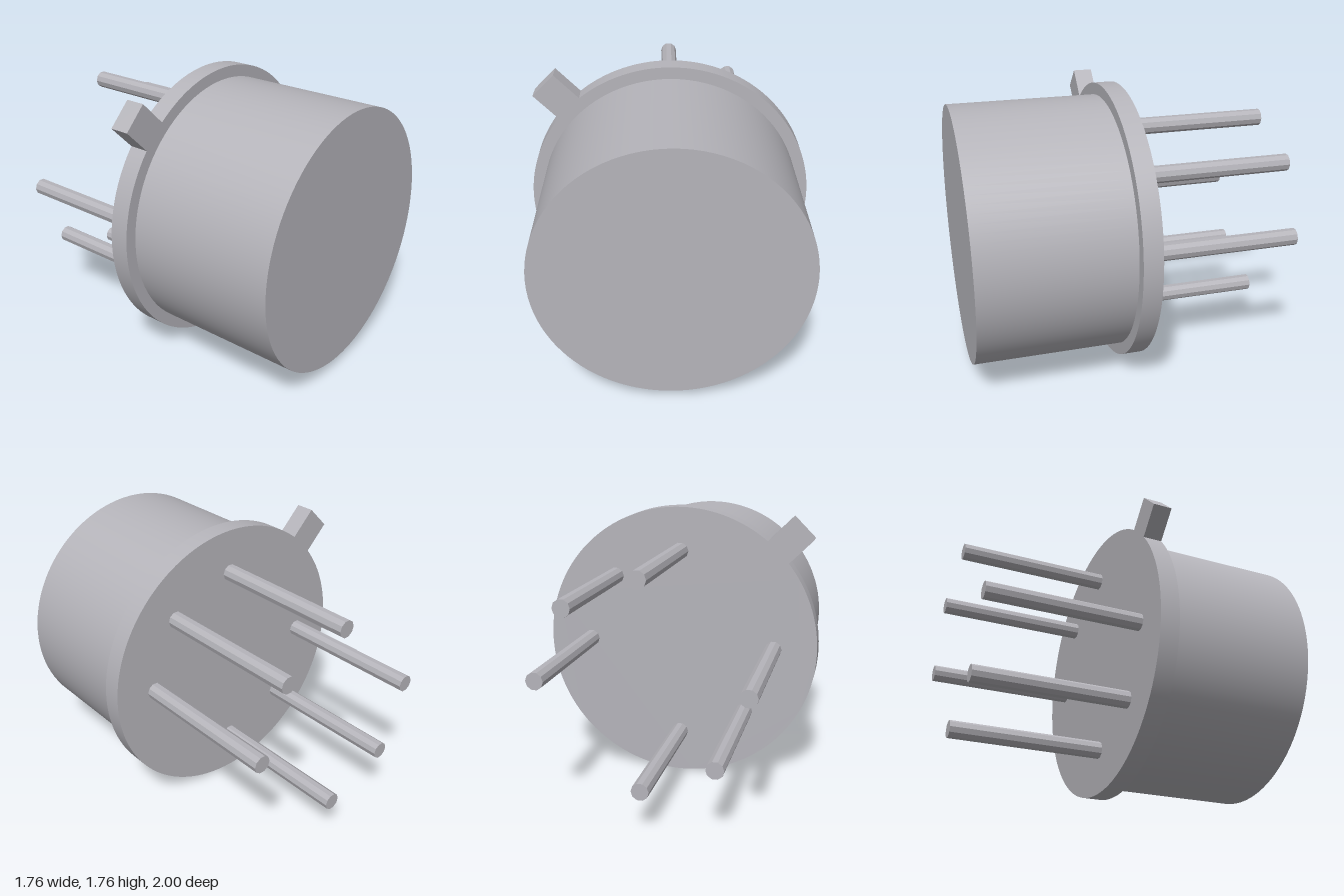
import * as THREE from 'three';
import { toCreasedNormals } from 'three/addons/utils/BufferGeometryUtils.js';

const CENTRE_Y = 0.88;

export function createModel() {
  const model = new THREE.Group();
  model.name = 'metalCanPackage';
  const metal = new THREE.MeshStandardMaterial({ color: 0xb5b4ba });
  metal.name = 'grey metal';

  const add = (name, geometry, x, y, z) => {
    const mesh = new THREE.Mesh(geometry, metal);
    mesh.name = name;
    mesh.position.set(x, CENTRE_Y + y, z);
    model.add(mesh);
  };

  // Cylindrical can facing forward, seated against the flange
  const can = new THREE.CylinderGeometry(0.807, 0.807, 0.93, 96);
  can.rotateX(Math.PI / 2);
  add('can', can, 0, 0, 0.535);

  // Flange disc with a square locating tab at the upper -x side
  const radius = 0.88, halfTab = 0.094, tabReach = 1.084;
  const tabAngle = Math.PI * 0.75;
  const halfAngle = Math.asin(halfTab / radius);
  const outline = new THREE.Shape();
  outline.absarc(0, 0, radius, tabAngle + halfAngle, tabAngle - halfAngle + Math.PI * 2, false);
  for (const side of [-1, 1]) {
    const c = Math.cos(tabAngle), s = Math.sin(tabAngle);
    outline.lineTo(c * tabReach - s * halfTab * side, s * tabReach + c * halfTab * side);
  }
  outline.closePath();
  const flange = new THREE.ExtrudeGeometry(outline, { depth: 0.12, bevelEnabled: false, curveSegments: 96 });
  add('flangeWithTab', toCreasedNormals(flange, 0.5), 0, 0, -0.05);

  // Six ten-sided pins in two opposite groups of three
  const pin = new THREE.CylinderGeometry(0.053, 0.053, 0.96, 10, 1, false, Math.PI / 2);
  pin.rotateX(Math.PI / 2);
  const facetedPin = toCreasedNormals(pin, 0.3);
  [0, 45, 90, 180, 225, 270].forEach((degrees, i) => {
    const a = THREE.MathUtils.degToRad(degrees);
    add(`pin${i + 1}`, facetedPin, 0.605 * Math.cos(a), 0.605 * Math.sin(a), -0.52);
  });

  return model;
}
